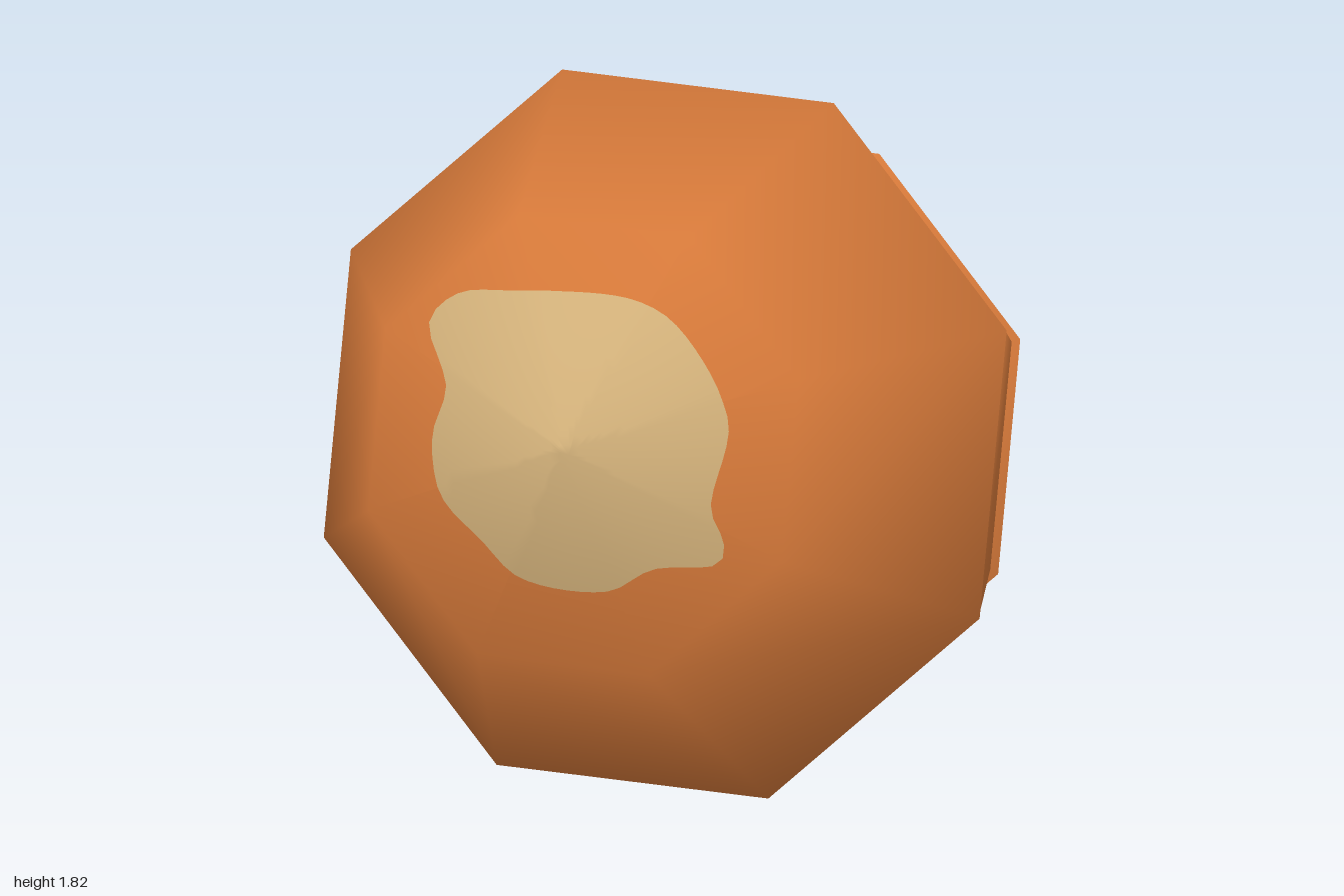
import * as THREE from 'three';

const shellMat = new THREE.MeshStandardMaterial({ color: 0xd47839 });
shellMat.name = 'orange shell';
const patchMat = new THREE.MeshStandardMaterial({ color: 0xcfae78 });
patchMat.name = 'pale patch';

const V3 = (x, y, z) => new THREE.Vector3(x, y, z);
const RADIUS = 1.01;

// eight-sided turned shell; profile runs from back to front as [radius, height along axis]
function shell(name, profile) {
  const points = profile.map(([r, h]) => new THREE.Vector2(r * RADIUS, h));
  const mesh = new THREE.Mesh(new THREE.LatheGeometry(points, 8), shellMat);
  mesh.name = name;
  return mesh;
}

// thin plate laid on the shells: outline drawn in the plane (U, V), dropped along -D
function patch(name, targets, outline, U, V, D) {
  const RINGS = 16, SIDES = 72;
  const curve = new THREE.CatmullRomCurve3(outline.map(([u, v]) => V3(u, v, 0)), true);
  const rim = curve.getSpacedPoints(SIDES).slice(0, SIDES);
  const mid = rim.reduce((s, p) => s.add(p), V3(0, 0, 0)).divideScalar(SIDES);
  const ray = new THREE.Raycaster();
  const pos = [], nor = [], index = [];
  for (let r = 0; r <= RINGS; r++) {
    for (let s = 0; s < SIDES; s++) {
      const q = mid.clone().lerp(rim[s], r / RINGS);
      const from = V3(0, 0, 0).addScaledVector(U, q.x).addScaledVector(V, q.y).addScaledVector(D, 5);
      ray.set(from, D.clone().negate());
      const hit = ray.intersectObjects(targets, false)[0];
      const p = hit ? hit.point.clone() : from.addScaledVector(D, -5);
      const flat = hit ? hit.face.normal.clone().transformDirection(hit.object.matrixWorld) : D;
      const soft = hit && hit.normal ? hit.normal.clone().transformDirection(hit.object.matrixWorld) : flat;
      p.addScaledVector(flat, 0.006);
      pos.push(p.x, p.y, p.z);
      nor.push(soft.x, soft.y, soft.z);
      if (r < RINGS) {
        const a = r * SIDES + s, b = r * SIDES + (s + 1) % SIDES;
        index.push(a, a + SIDES, b + SIDES, a, b + SIDES, b);
      }
    }
  }
  const g = new THREE.BufferGeometry();
  g.setAttribute('position', new THREE.Float32BufferAttribute(pos, 3));
  g.setAttribute('normal', new THREE.Float32BufferAttribute(nor, 3));
  g.setIndex(index);
  const mesh = new THREE.Mesh(g, patchMat);
  mesh.name = name;
  return mesh;
}

export function createModel() {
  const model = new THREE.Group();
  model.name = 'segmentedShell';

  // three nested shells on one tilted axis, with hidden tucked-in rims
  const body = new THREE.Group();
  body.name = 'body';
  const shells = [
    shell('frontDome', [[0.87, -0.3], [1, 0], [0.63, 0.64], [0, 0.81]]),
    shell('middleBand', [[0.65, -0.66], [0.79, -0.6], [0.995, -0.004], [0.7, 0.05]]),
    shell('rearCapWithSpike', [[0, -1.27], [0.16, -1.08], [0.75, -0.76], [0.815, -0.6], [0.6, -0.58]]),
  ];
  body.add(...shells);
  const axis = V3(-0.142, 0.338, 0.93).normalize();
  const side = V3(0.93, 0.39, 0).normalize();
  const third = axis.clone().cross(side).normalize();
  side.crossVectors(third, axis);
  body.quaternion.setFromRotationMatrix(new THREE.Matrix4().makeBasis(third, axis, side));
  body.position.set(0, 0.94, 0.18);
  model.add(body);
  model.updateMatrixWorld(true);

  // pale patches
  model.add(patch('frontPatch', shells, [
    [-0.54, 1.41], [-0.47, 1.28], [-0.5, 1.14], [-0.46, 1.0], [-0.34, 0.91], [-0.22, 0.83],
    [0.02, 0.83], [0.14, 0.9], [0.32, 0.93], [0.33, 0.99], [0.29, 1.07], [0.32, 1.29],
    [0.22, 1.45], [0.08, 1.55], [-0.2, 1.55], [-0.32, 1.53], [-0.47, 1.49],
  ], V3(1, 0, 0), V3(0, 1, 0), V3(0, 0, 1)));

  model.add(patch('leftStreak', shells, [
    [-0.17, 0.36], [-0.1, 0.33], [0.1, 0.31], [0.27, 0.265], [0.4, 0.265], [0.5, 0.29],
    [0.59, 0.345], [0.6, 0.385], [0.48, 0.36], [0.33, 0.365], [0.2, 0.36], [0.05, 0.37],
    [-0.06, 0.385], [-0.14, 0.39],
  ], V3(0, 0, -1), V3(0, 1, 0), V3(1, 0, 0)));

  model.add(patch('rearStreak', shells, [
    [-0.45, 0.4], [-0.33, 0.45], [-0.18, 0.48], [-0.04, 0.53], [0.08, 0.62], [0.18, 0.71],
    [0.19, 0.77], [0.13, 0.77], [-0.01, 0.66], [-0.15, 0.61], [-0.27, 0.59], [-0.42, 0.52],
  ], V3(-0.813, 0, 0.582), V3(0.227, 0.92, 0.317), V3(-0.535, 0.39, -0.748).normalize()));

  return model;
}
